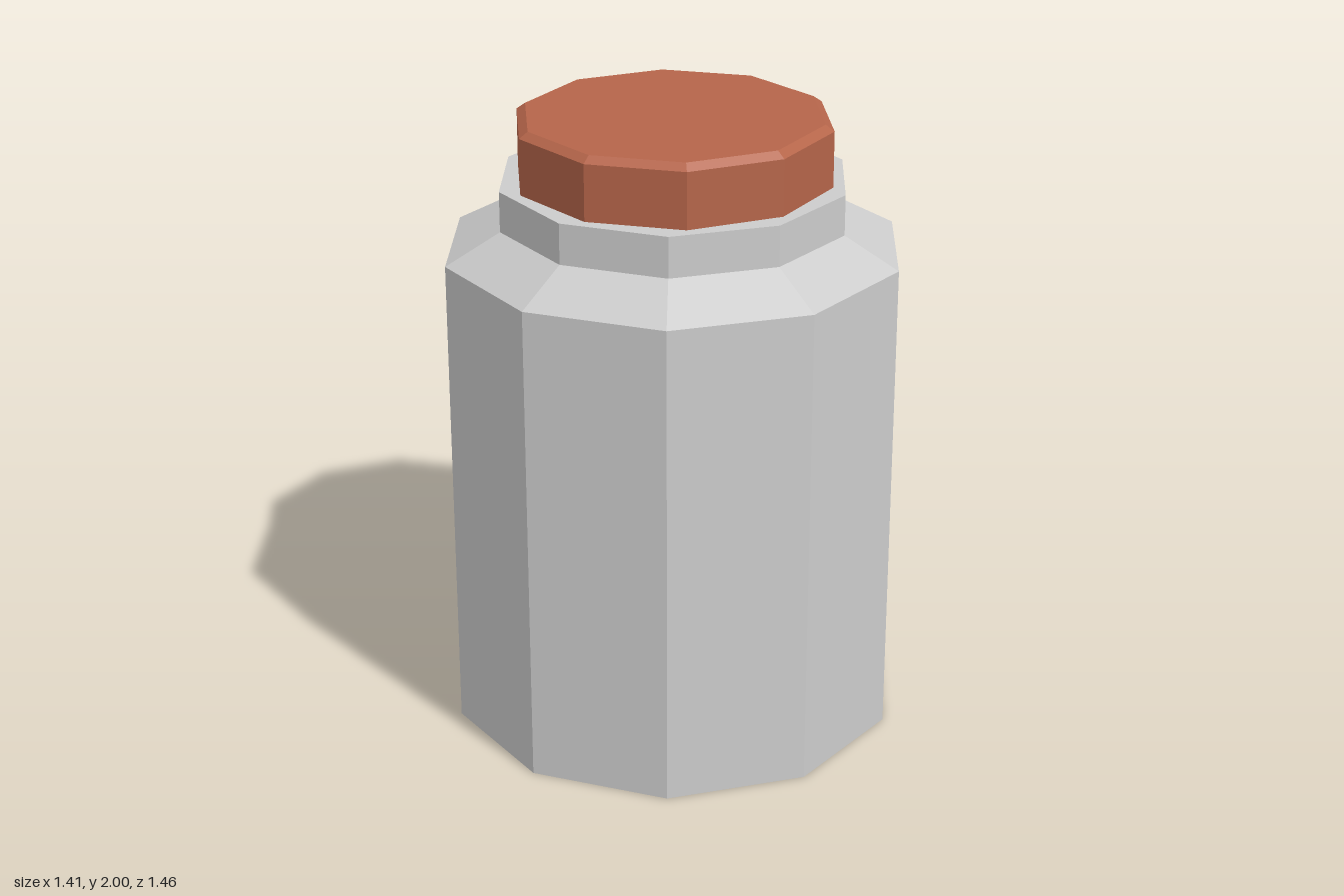
import * as THREE from 'three';

const SIDES = 10;

// Faceted solid of revolution; profile runs from bottom axis to top axis as [radius, y]
function facetedLathe(name, profile, turnDegrees, color) {
  const points = profile.map(([r, y]) => new THREE.Vector2(r, y));
  const geometry = new THREE.LatheGeometry(points, SIDES, THREE.MathUtils.degToRad(turnDegrees));
  const mesh = new THREE.Mesh(geometry, new THREE.MeshStandardMaterial({ color, flatShading: true }));
  mesh.name = name;
  return mesh;
}

export function createModel() {
  const group = new THREE.Group();
  group.name = 'jar';

  // Straight body, sloped shoulder and short neck
  group.add(facetedLathe('jarBody', [
    [0, 0], [0.73, 0], [0.73, 1.575], [0.555, 1.67], [0.555, 1.8], [0, 1.8],
  ], -3, 0xcccccc));

  // Lid with a bevelled top edge, turned slightly against the body
  group.add(facetedLathe('lid', [
    [0, 1.801], [0.503, 1.801], [0.503, 1.98], [0.475, 2], [0, 2],
  ], 3, 0xb5654a));

  return group;
}
